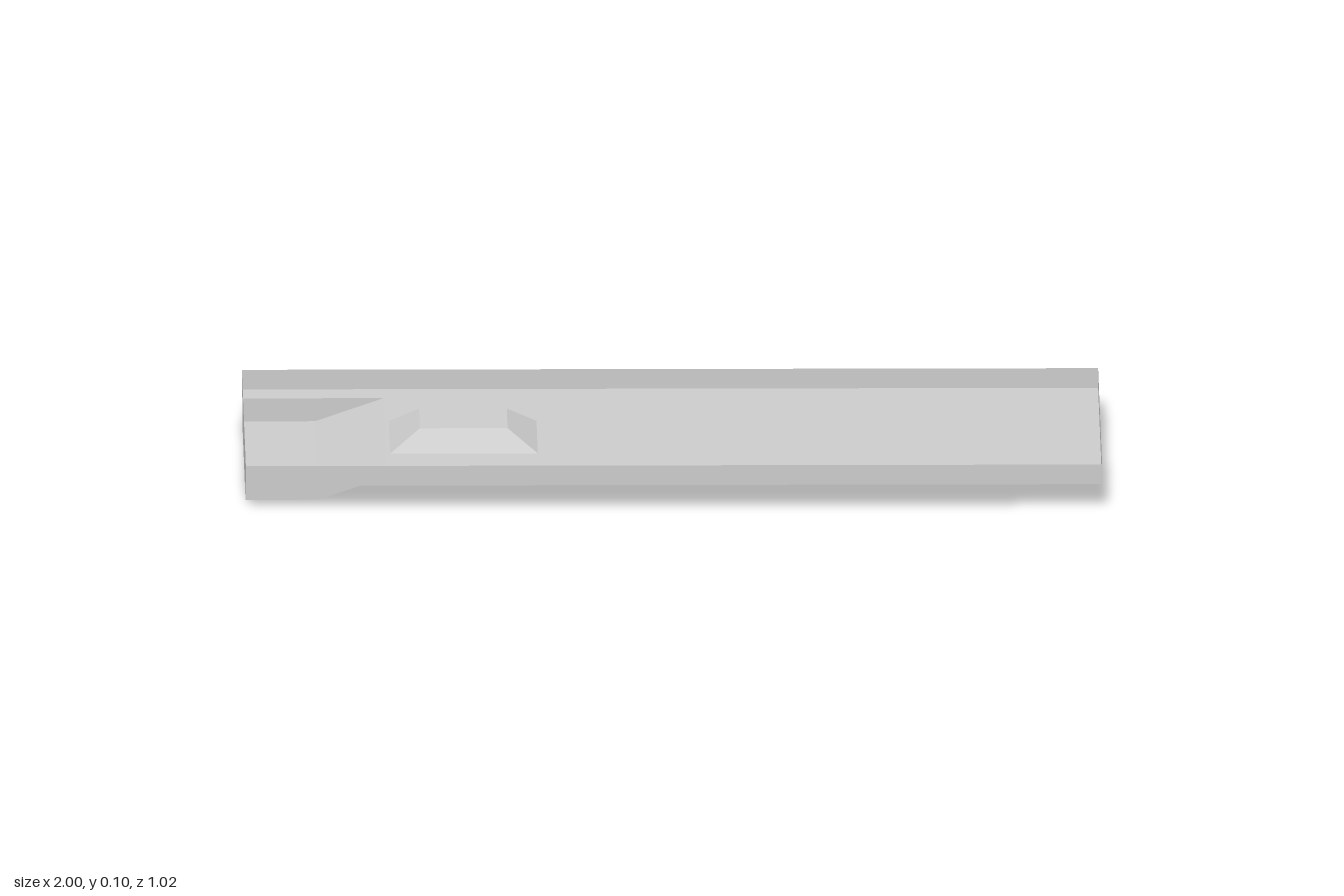
import * as THREE from 'three';

const FLOOR = 0.055, RIM = 0.102;    // heights of the tray floor and rim
const HX = 1, HZ = 0.512;            // half length and half width
const WELL_Z = 0.417, RAMP_LOW = -0.83, RAMP_HIGH = -0.67;

const material = new THREE.MeshStandardMaterial({
  color: 0xcccccc, flatShading: true, side: THREE.DoubleSide,
});

function mesh(name, geometry) {
  const m = new THREE.Mesh(geometry, material);
  m.name = name;
  return m;
}

// Flat four-cornered sheet, corners counter-clockwise from its front
function panel(name, a, b, c, d) {
  const g = new THREE.BufferGeometry();
  g.setAttribute('position', new THREE.Float32BufferAttribute([...a, ...b, ...c, ...d], 3));
  g.setIndex([0, 1, 2, 0, 2, 3]);
  g.computeVertexNormals();
  return mesh(name, g);
}

// Corners of a rectangle at height y, counter-clockwise seen from above
const ring = (cx, hx, hz, y) =>
  [[cx - hx, y, hz], [cx + hx, y, hz], [cx + hx, y, -hz], [cx - hx, y, -hz]];

// Four sheets joining a lower rectangle to an upper one
function sides(name, low, high) {
  const group = new THREE.Group();
  group.name = name;
  for (let i = 0; i < 4; i++) {
    const j = (i + 1) % 4;
    group.add(panel(name + 'Side', low[i], low[j], high[j], high[i]));
  }
  return group;
}

export function createModel() {
  const model = new THREE.Group();
  model.name = 'tray';

  // Floor, notched where the sunken well opens
  const outline = [
    [-HX, -HZ], [HX, -HZ], [HX, HZ], [-HX, HZ],
    [-HX, WELL_Z], [RAMP_HIGH, WELL_Z], [RAMP_HIGH, -WELL_Z], [-HX, -WELL_Z],
  ].map(([x, y]) => new THREE.Vector2(x, y));
  const floor = mesh('floor', new THREE.ShapeGeometry(new THREE.Shape(outline)));
  floor.rotation.x = -Math.PI / 2;
  floor.position.y = FLOOR;
  model.add(floor);

  // Upright rim around the floor
  model.add(sides('rim', ring(0, HX, HZ, FLOOR), ring(0, HX, HZ, RIM)));

  // Sunken well with a ramp up to the floor
  const well = new THREE.Group();
  well.name = 'well';
  const profile = [[-HX, FLOOR], [-HX, 0], [RAMP_LOW, 0], [RAMP_HIGH, FLOOR]];
  ['wellEndWall', 'wellBottom', 'wellRamp'].forEach((name, i) => {
    const [p, q] = [profile[i], profile[i + 1]];
    well.add(panel(name, [...p, WELL_Z], [...q, WELL_Z], [...q, -WELL_Z], [...p, -WELL_Z]));
  });
  for (const s of [1, -1]) {
    const corners = profile.map((p) => [...p, s * WELL_Z]);
    well.add(panel('wellSide', ...(s > 0 ? corners : corners.reverse())));
  }
  model.add(well);

  // Raised block with sloping sides
  const top = ring(-0.4875, 0.1025, 0.104, 0.1);
  const block = sides('raisedBlock', ring(-0.4875, 0.1725, 0.173, FLOOR), top);
  block.add(panel('raisedBlockTop', ...top));
  model.add(block);

  return model;
}
